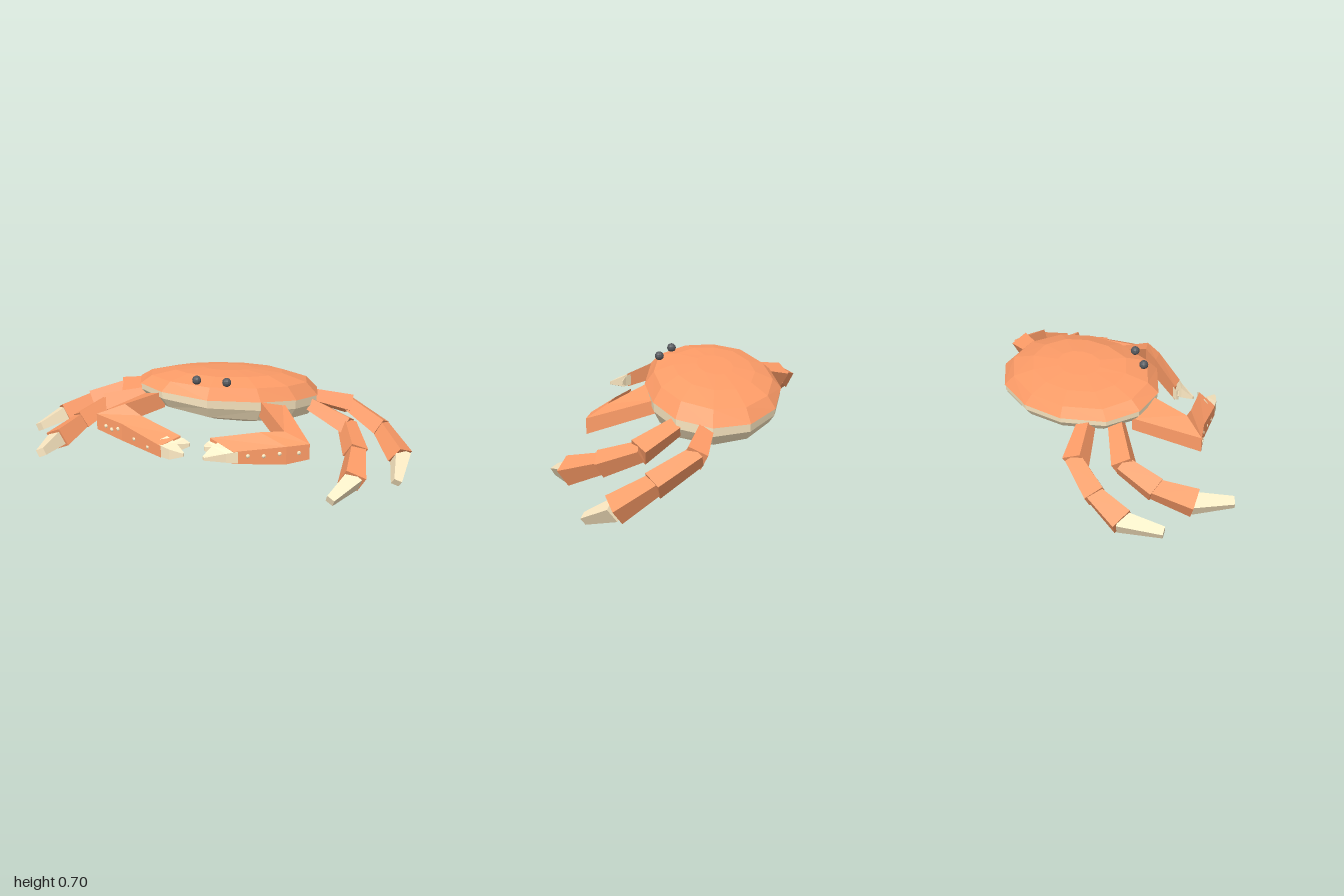
import * as THREE from 'three';

const V = (x, y, z) => new THREE.Vector3(x, y, z);
const mat = (color) => new THREE.MeshStandardMaterial({ color, flatShading: true });
const shellMat = mat(0xff9d68), creamMat = mat(0xffebc4), eyeMat = mat(0x56595e);

// Closed faceted solid through a list of equal-sized loops of points
function loft(name, loops, material) {
  const n = loops[0].length, tris = [];
  for (let i = 0; i + 1 < loops.length; i++) {
    for (let j = 0; j < n; j++) {
      const k = (j + 1) % n, a = loops[i], b = loops[i + 1];
      tris.push([a[j], a[k], b[k]], [a[j], b[k], b[j]]);
    }
  }
  const last = loops[loops.length - 1];
  for (let j = 1; j + 1 < n; j++) {
    tris.push([loops[0][0], loops[0][j + 1], loops[0][j]], [last[0], last[j], last[j + 1]]);
  }
  // Turn the faces outward when the loops run the other way round
  const volume = tris.reduce((s, [a, b, c]) => s + a.clone().sub(loops[0][0])
    .dot(b.clone().sub(loops[0][0]).cross(c.clone().sub(loops[0][0]))), 0);
  const pts = tris.flatMap(([a, b, c]) => (volume < 0 ? [a, c, b] : [a, b, c]));
  const geo = new THREE.BufferGeometry().setFromPoints(pts);
  geo.computeVertexNormals();
  const mesh = new THREE.Mesh(geo, material);
  mesh.name = name;
  return mesh;
}

// Body: scaled copies of one outline on a slightly tilted plane, fuller towards +x
const outline = [[0.04, -0.77], [0.26, -0.73], [0.39, -0.55], [0.4, -0.31], [0.32, -0.06], [0.13, 0.21],
  [-0.14, 0.31], [-0.35, 0.27], [-0.49, 0.12], [-0.5, -0.16], [-0.4, -0.43], [-0.2, -0.66]];
const centre = [-0.07, -0.22];
function bodyRing([scale, height]) {
  return outline.map(([px, pz]) => {
    const x = centre[0] + (px - centre[0]) * scale, z = centre[1] + (pz - centre[1]) * scale;
    return V(x, 0.564 - 0.02 * x + 0.14 * z + height * (1.03 + 0.6 * x), z);
  });
}

// Four-sided tapered leg segment, rolled about its own length
function segment(name, a, b, wa, wb, roll, material) {
  const dir = b.clone().sub(a).normalize();
  const side = dir.clone().cross(V(0, 1, 0)).normalize();
  const up = side.clone().cross(dir);
  side.applyAxisAngle(dir, roll);
  up.applyAxisAngle(dir, roll);
  const square = (p, w) => [[1, 1], [-1, 1], [-1, -1], [1, -1]].map(([s, t]) =>
    p.clone().addScaledVector(side, s * w).addScaledVector(up, t * w * 0.9));
  return loft(name, [square(a, wa), square(b, wb)], material);
}

function leg(name, points, roll) {
  const g = new THREE.Group();
  g.name = name;
  const p = points.map((q) => V(...q));
  const widths = [[0.04, 0.058], [0.045, 0.058], [0.046, 0.064], [0.05, 0.026]];
  widths.forEach(([wa, wb], i) => {
    const tip = i === 3;
    // Each segment starts a little inside the one before it
    const start = p[i].clone().lerp(p[i + 1], i ? -0.08 : 0);
    g.add(segment(tip ? 'legTip' : 'legSegment' + (i + 1), start, p[i + 1], wa, wb, roll, tip ? creamMat : shellMat));
  });
  return g;
}

// Claw section: outer x, z, inner x, z, outer top y, outer bottom y; the inner side sits higher
function clawLoop([ox, oz, ix, iz, top, bottom]) {
  const lift = 0.32 * Math.hypot(ox - ix, oz - iz);
  return [V(ox, top, oz), V(ix, top + lift, iz), V(ix, bottom + lift * 0.6, iz), V(ox, bottom, oz)];
}

function claw(name, { arm, fingers, spots }) {
  const g = new THREE.Group();
  g.name = name;
  const loops = arm.map(clawLoop);
  g.add(loft('clawArm', loops, shellMat));
  fingers.forEach((f) => g.add(loft('clawFinger', f.map(clawLoop), creamMat)));
  // Pale bumps sunk into the outer face of the forearm
  for (const [t, h] of spots) {
    const i = t < 1 ? 1 : 2;
    const [top, inner, , low] = loops[i].map((p, j) => p.clone().lerp(loops[i + 1][j], t % 1));
    const bump = new THREE.Mesh(new THREE.SphereGeometry(0.014, 8, 6), creamMat);
    bump.position.copy(low).lerp(top, h).addScaledVector(inner.sub(top).normalize(), 0.01);
    bump.name = 'clawBump';
    g.add(bump);
  }
  return g;
}

export function createModel() {
  const crab = new THREE.Group();
  crab.name = 'crab';

  // Upper shell and pale underside
  crab.add(loft('upperShell', [[1, 0], [0.87, 0.062], [0.6, 0.102], [0.27, 0.117]].map(bodyRing), shellMat));
  crab.add(loft('underside', [[0.99, 0.001], [0.985, -0.045], [0.9, -0.105], [0.62, -0.148], [0.3, -0.166]].map(bodyRing), creamMat));

  // Eyes
  for (const [x, y, z] of [[0.155, 0.67, 0.06], [0.012, 0.68, 0.165]]) {
    const eye = new THREE.Mesh(new THREE.SphereGeometry(0.027, 12, 8), eyeMat);
    eye.position.set(x, y, z);
    eye.name = 'eye';
    crab.add(eye);
  }

  // Walking legs
  crab.add(leg('leftBackLeg', [[0.25, 0.43, -0.64], [0.44, 0.355, -0.84], [0.69, 0.25, -0.84], [0.88, 0.13, -0.765], [0.965, 0.035, -0.59]], -0.45));
  crab.add(leg('leftFrontLeg', [[0.34, 0.43, -0.51], [0.62, 0.33, -0.55], [0.78, 0.245, -0.4], [0.89, 0.16, -0.2], [0.875, 0.1, 0]], -0.45));
  crab.add(leg('rightFrontLeg', [[-0.36, 0.51, 0.13], [-0.63, 0.42, 0.28], [-0.67, 0.345, 0.48], [-0.645, 0.295, 0.7], [-0.56, 0.295, 0.9]], 0.45));
  crab.add(leg('rightBackLeg', [[-0.44, 0.52, -0.02], [-0.71, 0.44, 0.02], [-0.86, 0.365, 0.2], [-0.935, 0.3, 0.38], [-0.915, 0.28, 0.61]], 0.45));

  // Claws
  crab.add(claw('rightClaw', {
    arm: [[-0.34, 0.22, -0.16, 0.26, 0.54, 0.46], [-0.35, 0.64, -0.24, 0.515, 0.515, 0.42],
      [-0.18, 0.605, -0.12, 0.505, 0.485, 0.38], [0.11, 0.59, 0.16, 0.475, 0.42, 0.35]],
    fingers: [[[0.06, 0.592, 0.1, 0.52, 0.43, 0.355], [0.17, 0.582, 0.17, 0.52, 0.412, 0.35], [0.25, 0.555, 0.25, 0.545, 0.4, 0.38]],
      [[0.11, 0.54, 0.13, 0.48, 0.435, 0.37], [0.16, 0.525, 0.18, 0.465, 0.425, 0.37], [0.21, 0.46, 0.21, 0.45, 0.42, 0.4]]],
    spots: [[0.32, 0.4], [0.55, 0.35], [0.8, 0.55], [1.3, 0.4], [1.65, 0.3]],
  }));
  crab.add(claw('leftClaw', {
    arm: [[0.33, -0.26, 0.27, -0.08, 0.51, 0.43], [0.695, -0.04, 0.54, 0, 0.39, 0.295],
      [0.61, 0.07, 0.44, 0.1, 0.385, 0.275], [0.39, 0.28, 0.23, 0.3, 0.36, 0.285]],
    fingers: [[[0.41, 0.262, 0.29, 0.28, 0.36, 0.287], [0.36, 0.31, 0.27, 0.33, 0.35, 0.295], [0.28, 0.41, 0.265, 0.405, 0.335, 0.318]],
      [[0.32, 0.285, 0.235, 0.285, 0.375, 0.31], [0.27, 0.31, 0.22, 0.31, 0.37, 0.315], [0.215, 0.33, 0.205, 0.325, 0.36, 0.335]]],
    spots: [[0.4, 0.5], [1.1, 0.6], [1.4, 0.5], [1.7, 0.55]],
  }));

  // Stand on the ground, centred
  const box = new THREE.Box3().setFromObject(crab), mid = box.getCenter(V(0, 0, 0));
  crab.position.set(-mid.x, -box.min.y, -mid.z);
  return crab;
}
